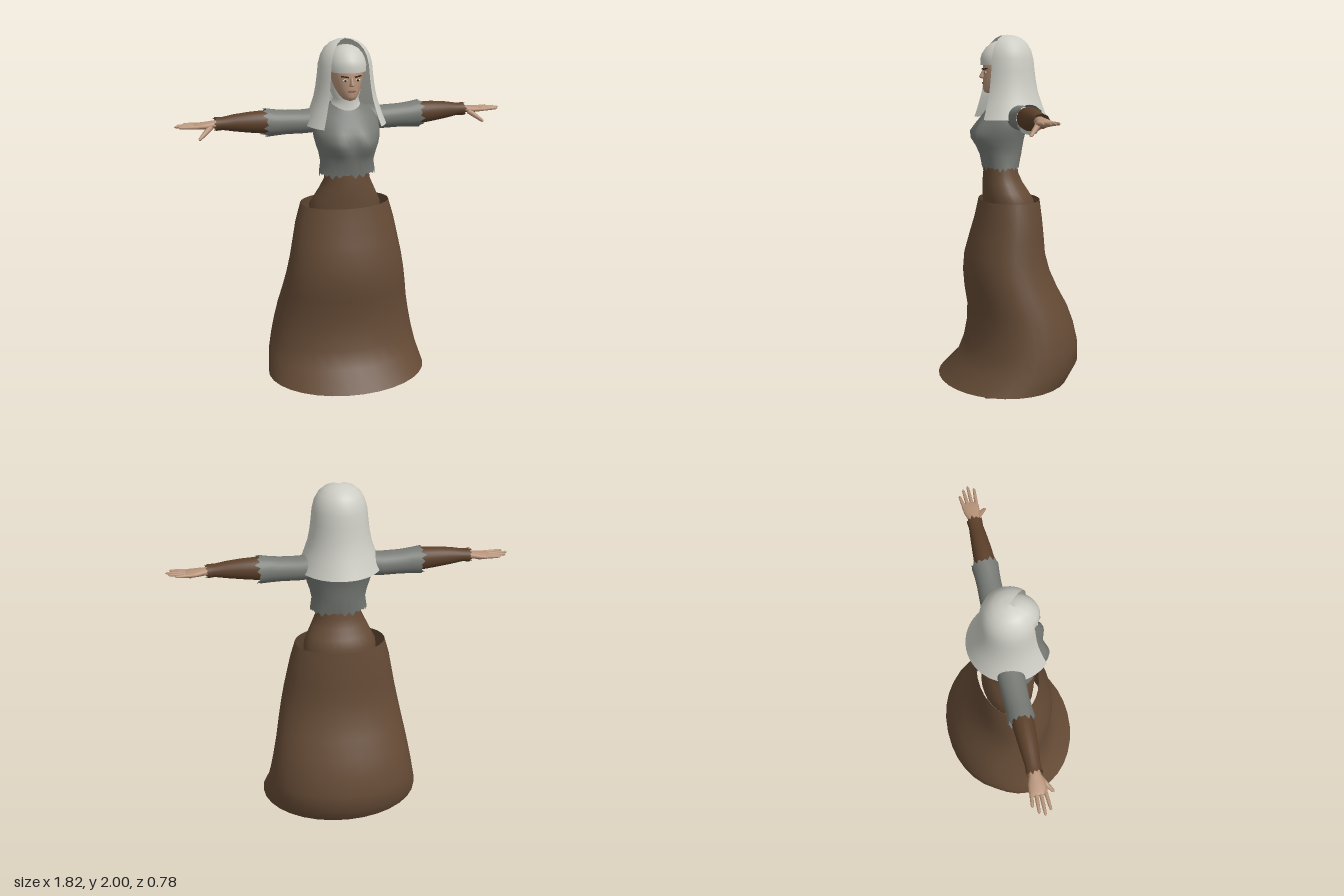
import * as THREE from 'three';

const mat = (name, color, side = THREE.DoubleSide) => {
  const m = new THREE.MeshStandardMaterial({ color, side });
  m.name = name;
  return m;
};

// Elliptical cross-sections stacked along y: rows are [y, centreX, radiusX, centreZ, radiusZ].
// jag moves every other vertex of the first and/or last row to make a torn hem.
function loft(rows, n = 28, jagStart = 0, jagEnd = 0) {
  const pos = [], idx = [], last = rows.length - 1;
  rows.forEach(([t, a, ra, b, rb], i) => {
    for (let j = 0; j < n; j++) {
      const th = (j / n) * Math.PI * 2;
      const tooth = j % 2 ? 0.6 + 0.4 * Math.sin(j * 2.3) : 0;
      const jag = i === 0 ? jagStart * tooth : i === last ? jagEnd * tooth : 0;
      pos.push(a + ra * Math.sin(th), t + jag, b + rb * Math.cos(th));
      if (i < last) {
        const k = (j + 1) % n, p = i * n, q = p + n;
        idx.push(p + j, p + k, q + j, p + k, q + k, q + j);
      }
    }
  });
  const g = new THREE.BufferGeometry();
  g.setAttribute('position', new THREE.Float32BufferAttribute(pos, 3));
  g.setIndex(idx);
  g.computeVertexNormals();
  return g;
}

// Row given by height, half width, front z and back z
const row = (y, hx, zf, zb) => [y, 0, hx, (zf + zb) / 2, (zf - zb) / 2];
// Row of a loft that runs along x: position, centre y, radius y, centre z, radius z
const armLoft = (rows, n, j0, j1) =>
  loft(rows.map(([x, cy, ry, cz, rz]) => [x, -cy, ry, cz, rz]), n, j0, j1).rotateZ(-Math.PI / 2);
// Row of a loft that runs along z: position, centre x, radius x, centre y, radius y
const footLoft = rows =>
  loft(rows.map(([z, cx, rx, cy, ry]) => [z, cx, rx, -cy, ry]), 16).rotateX(Math.PI / 2);

export function createModel() {
  const brown = mat('brown cloth', 0x644a35);
  const grey = mat('grey cloth', 0x777a75);
  const white = mat('white linen', 0xcdcdc5);
  const skin = mat('skin', 0xb8947a);
  const sleeveBrown = mat('dark brown cloth', 0x5c402a);
  const dark = mat('dark hair', 0x2f241d);
  const lip = mat('lips', 0x8a5348);
  const eyeWhite = mat('eye white', 0xd8d4cc);

  const model = new THREE.Group();
  model.name = 'woman';
  const add = (name, geo, m, parent = model) => {
    const mesh = new THREE.Mesh(geo, m);
    mesh.name = name;
    parent.add(mesh);
    return mesh;
  };
  // Tapered round finger between two points
  const finger = (name, p, q, r0, r1, parent) => {
    const a = new THREE.Vector3(...p), b = new THREE.Vector3(...q), d = b.clone().sub(a);
    const L = d.length();
    const f = add(name, loft([[0, 0, r0, 0, r0], [L * 0.6, 0, (r0 + r1) / 2, 0, (r0 + r1) / 2],
      [L * 0.93, 0, r1, 0, r1], [L, 0, 0.001, 0, 0.001]], 8), skin, parent);
    f.position.copy(a);
    f.quaternion.setFromUnitVectors(new THREE.Vector3(0, 1, 0), d.normalize());
  };

  // Long skirt, open at the waist and hem
  const hw = y => 0.457 - (y - 0.1) * 0.197;
  add('skirt', loft([
    row(0.1, 0.457, 0.39, -0.335), row(0.2, hw(0.2), 0.285, -0.395), row(0.3, hw(0.3), 0.245, -0.395),
    row(0.4, hw(0.4), 0.226, -0.372), row(0.5, hw(0.5), 0.222, -0.335), row(0.6, hw(0.6), 0.238, -0.28),
    row(0.7, hw(0.7), 0.246, -0.235), row(0.8, hw(0.8), 0.238, -0.208), row(0.9, hw(0.9), 0.21, -0.2),
    row(1.0, 0.28, 0.18, -0.19), row(1.105, 0.25, 0.157, -0.177)], 32), brown);

  // Brown underdress over waist and hips
  add('underdress', loft([
    row(0.82, 0.02, 0.02, -0.02), row(0.88, 0.17, 0.11, -0.12), row(0.98, 0.205, 0.13, -0.155),
    row(1.1, 0.2, 0.133, -0.145), row(1.15, 0.175, 0.136, -0.115), row(1.2, 0.15, 0.136, -0.082),
    row(1.25, 0.127, 0.132, -0.06), row(1.33, 0.12, 0.125, -0.05)]), brown);

  // Blouse with torn hem; the bust is pushed forward on both sides
  const blouse = loft([
    row(1.29, 0.156, 0.138, -0.06), row(1.35, 0.147, 0.15, -0.075), row(1.4, 0.157, 0.165, -0.083),
    row(1.44, 0.17, 0.171, -0.09), row(1.48, 0.18, 0.17, -0.1), row(1.52, 0.185, 0.16, -0.115),
    row(1.56, 0.18, 0.14, -0.127), row(1.6, 0.165, 0.11, -0.12), row(1.63, 0.13, 0.085, -0.105),
    row(1.66, 0.08, 0.07, -0.075)], 44, -0.026);
  const bp = blouse.attributes.position;
  for (let i = 0; i < bp.count; i++) {
    const x = Math.abs(bp.getX(i)), y = bp.getY(i), z = bp.getZ(i);
    const d2 = ((x - 0.08) / 0.06) ** 2 + ((y - 1.465) / 0.06) ** 2;
    if (z > 0.03) bp.setZ(i, z + 0.04 * Math.exp(-d2));
  }
  blouse.computeVertexNormals();
  add('blouse', blouse, grey);

  // Arms, hands, legs and shoes, mirrored
  for (const side of [1, -1]) {
    const limb = new THREE.Group();
    limb.name = side > 0 ? 'leftLimbs' : 'rightLimbs';
    limb.scale.x = side;
    model.add(limb);

    add('sleeve', armLoft([
      [0.08, 1.585, 0.05, -0.03, 0.06], [0.15, 1.567, 0.066, -0.033, 0.07], [0.22, 1.561, 0.064, -0.034, 0.068],
      [0.32, 1.563, 0.065, -0.034, 0.064], [0.38, 1.565, 0.07, -0.033, 0.066],
      [0.425, 1.567, 0.076, -0.033, 0.07]], 28, 0, 0.03), grey, limb);
    add('forearm', armLoft([
      [0.36, 1.57, 0.055, -0.03, 0.05], [0.44, 1.572, 0.062, -0.03, 0.055], [0.52, 1.575, 0.055, -0.03, 0.051],
      [0.6, 1.577, 0.045, -0.031, 0.044], [0.66, 1.577, 0.034, -0.032, 0.038],
      [0.695, 1.576, 0.036, -0.033, 0.041]], 24, 0, 0.018), sleeveBrown, limb);
    add('palm', armLoft([
      [0.66, 1.576, 0.022, -0.032, 0.026], [0.71, 1.575, 0.02, -0.033, 0.03], [0.75, 1.572, 0.018, -0.034, 0.042],
      [0.79, 1.571, 0.015, -0.036, 0.045], [0.81, 1.571, 0.009, -0.037, 0.036]], 16), skin, limb);
    [[-0.068, -0.08, 0.862], [-0.047, -0.054, 0.897], [-0.025, -0.027, 0.912], [-0.003, 0.004, 0.893]]
      .forEach(([z0, z1, x]) => finger('finger', [0.78, 1.571, z0], [x, 1.575, z1], 0.0105, 0.007, limb));
    finger('thumb', [0.725, 1.566, -0.012], [0.795, 1.512, 0.044], 0.016, 0.008, limb);

    add('leg', loft([
      [0.05, 0.14, 0.034, -0.06, 0.036], [0.14, 0.138, 0.034, -0.06, 0.037], [0.3, 0.132, 0.05, -0.062, 0.054],
      [0.45, 0.125, 0.05, -0.04, 0.052], [0.7, 0.11, 0.075, -0.01, 0.08], [0.95, 0.1, 0.085, 0, 0.09]], 18),
    skin, limb);
    add('shoe', footLoft([
      [-0.112, 0.138, 0.004, 0.045, 0.012], [-0.1, 0.138, 0.036, 0.045, 0.042], [-0.06, 0.138, 0.046, 0.05, 0.05],
      [-0.01, 0.139, 0.047, 0.045, 0.045], [0.05, 0.141, 0.054, 0.034, 0.034], [0.11, 0.143, 0.058, 0.025, 0.025],
      [0.15, 0.143, 0.044, 0.021, 0.02], [0.172, 0.143, 0.006, 0.018, 0.006]]), brown, limb);
    add('shoeCuff', loft([[0.05, 0.138, 0.047, -0.055, 0.05], [0.1, 0.138, 0.048, -0.06, 0.048]], 20, 0, 0.012),
      brown, limb);

    // Eye and brow on each side of the face
    const eye = add('eyeWhite', new THREE.SphereGeometry(1, 12, 8), eyeWhite, limb);
    eye.scale.set(0.014, 0.006, 0.006);
    eye.position.set(0.035, 1.799, 0.126);
    const iris = add('iris', new THREE.SphereGeometry(1, 10, 8), dark, limb);
    iris.scale.set(0.006, 0.006, 0.003);
    iris.position.set(0.034, 1.799, 0.131);
    const brow = add('eyebrow', new THREE.BoxGeometry(0.04, 0.006, 0.008), dark, limb);
    brow.position.set(0.036, 1.818, 0.126);
    brow.rotation.set(0, 0.35, 0.12);
  }

  // Face
  add('face', loft([
    row(1.688, 0.012, 0.112, 0.07), row(1.695, 0.034, 0.127, 0.03), row(1.715, 0.052, 0.134, -0.01),
    row(1.745, 0.068, 0.134, -0.04), row(1.78, 0.08, 0.133, -0.06), row(1.805, 0.085, 0.131, -0.07),
    row(1.85, 0.088, 0.134, -0.07), row(1.89, 0.08, 0.11, -0.06)], 28), skin);
  add('nose', loft([row(1.764, 0.005, 0.13, 0.12), row(1.77, 0.015, 0.15, 0.112),
    row(1.778, 0.012, 0.154, 0.112), row(1.815, 0.007, 0.135, 0.11)], 12), skin);
  const mouth = add('mouth', new THREE.SphereGeometry(1, 12, 8), lip);
  mouth.scale.set(0.021, 0.006, 0.006);
  mouth.position.set(0, 1.742, 0.133);

  // Linen around neck and cheeks, and the cap over the forehead
  add('neckLinen', loft([
    row(1.63, 0.1, 0.085, -0.08), row(1.66, 0.078, 0.08, -0.065), row(1.69, 0.068, 0.085, -0.06),
    row(1.72, 0.08, 0.085, -0.07), row(1.78, 0.09, 0.072, -0.08), row(1.86, 0.09, 0.075, -0.08)]), white);
  add('cap', loft([
    row(1.838, 0.104, 0.144, -0.085), row(1.87, 0.104, 0.147, -0.09), row(1.9, 0.097, 0.138, -0.085),
    row(1.93, 0.083, 0.117, -0.07), row(1.952, 0.062, 0.094, -0.05), row(1.966, 0.035, 0.064, -0.02),
    row(1.97, 0.002, 0.025, 0.021)], 28), white);

  // Veil: a bell of cloth open at the front
  const profile = [[0.222, 1.55], [0.205, 1.59], [0.187, 1.64], [0.17, 1.69], [0.158, 1.75], [0.15, 1.81],
    [0.144, 1.87], [0.132, 1.915], [0.111, 1.953], [0.08, 1.98], [0.042, 1.996], [0.0005, 2]]
    .map(([r, y]) => new THREE.Vector2(r, y));
  add('veil', new THREE.LatheGeometry(profile, 36, Math.PI * 0.25, Math.PI * 1.5), white);

  return model;
}
